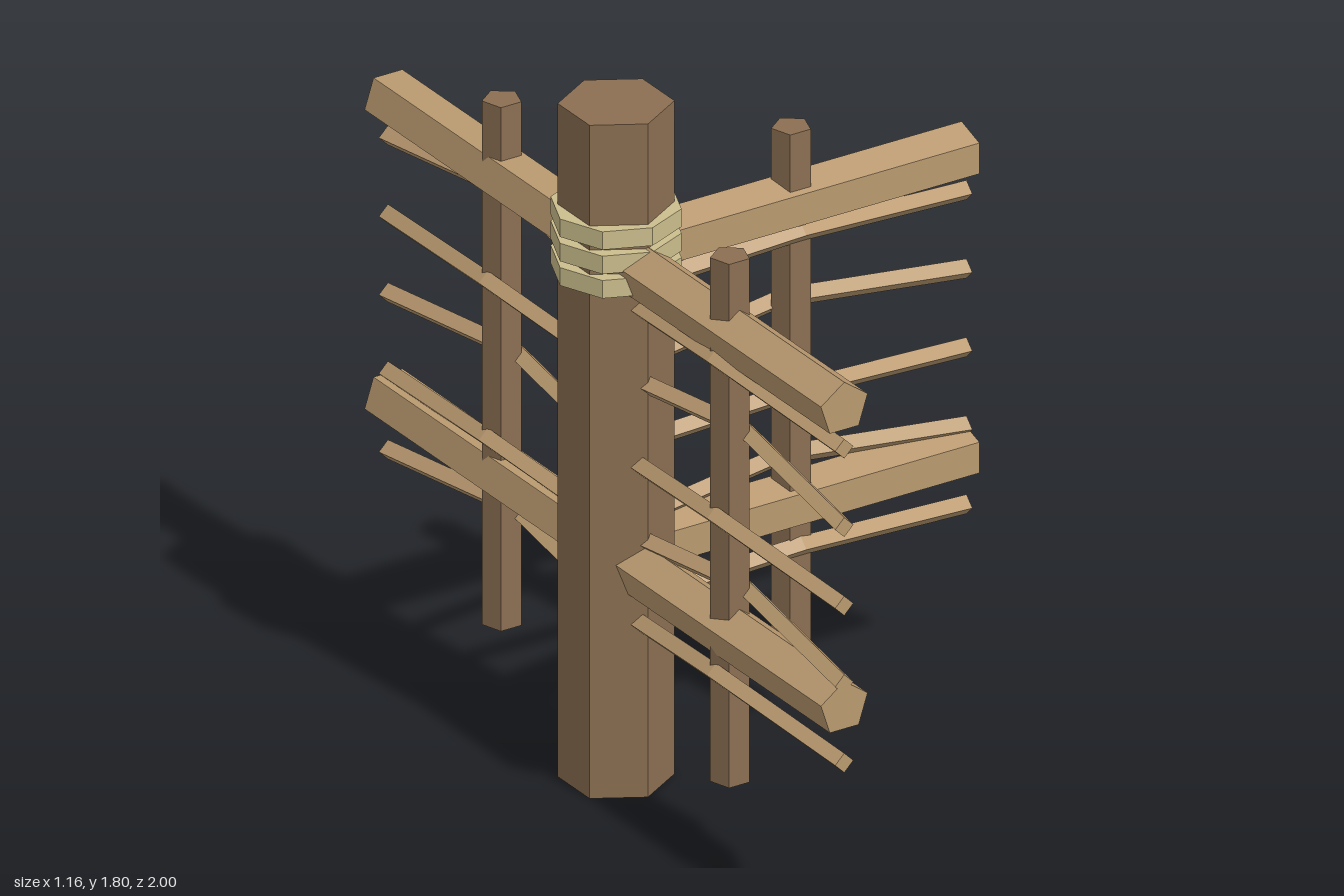
import * as THREE from 'three';

const material = (name, color) => {
  const m = new THREE.MeshStandardMaterial({ color });
  m.name = name;
  return m;
};

// Unshared corners give every facet its own flat normal
const faceted = (geometry) => {
  const g = geometry.toNonIndexed();
  g.computeVertexNormals();
  return g;
};

const part = (name, geometry, mat, y = 0) => {
  const mesh = new THREE.Mesh(faceted(geometry), mat);
  mesh.name = name;
  mesh.position.y = y;
  return mesh;
};

// Five-sided rail along +x, rolled about its own axis
const railGeometry = (roll) =>
  new THREE.CylinderGeometry(0.07, 0.07, 0.95, 5)
    .rotateY(roll).rotateZ(-Math.PI / 2).translate(0.525, 0, 0);

// Four-sided stick along +x, bent upward and sideways at its middle
function wattleGeometry(side) {
  const g = new THREE.CylinderGeometry(0.026, 0.026, 1, 4, 2)
    .rotateZ(-Math.PI / 2).translate(0.5, 0, 0);
  const p = g.attributes.position;
  for (let i = 0; i < p.count; i++) {
    if (Math.abs(p.getX(i) - 0.5) < 0.01) {
      p.setY(i, p.getY(i) + 0.042);
      p.setZ(i, p.getZ(i) + side * 0.04);
    }
  }
  return g;
}

export function createModel() {
  const darkWood = material('dark wood', 0x8b6f52);
  const paleWood = material('pale wood', 0xba9a70);
  const rope = material('rope', 0xcbbd8c);

  const model = new THREE.Group();
  model.name = 'fenceJunction';
  model.position.x = -0.42;

  // Central post
  model.add(part('post', new THREE.CylinderGeometry(0.14, 0.14, 1.8, 6), darkWood, 0.9));

  // Rope lashing around the upper rails
  for (let i = 0; i < 3; i++) {
    model.add(part('ropeBinding', new THREE.CylinderGeometry(0.16, 0.16, 0.048, 8), rope, 1.377 + i * 0.065));
  }

  // Three fence arms: turn about the post, and roll of the rails
  const arms = [
    ['leftArm', 0, Math.PI],
    ['frontArm', -Math.PI / 2, -Math.PI / 2],
    ['backArm', Math.PI / 2, Math.PI / 2],
  ];
  for (const [name, turn, roll] of arms) {
    const arm = new THREE.Group();
    arm.name = name;
    arm.rotation.y = turn;

    for (const y of [0.6, 1.4]) arm.add(part('rail', railGeometry(roll), paleWood, y));

    const stake = part('stake', new THREE.CylinderGeometry(0.05, 0.05, 1.4, 5), darkWood, 0.9);
    stake.position.x = 0.5;
    stake.rotation.y = Math.PI - turn;
    arm.add(stake);

    // Woven sticks pass the stake on alternating sides
    for (let i = 0; i < 5; i++) {
      arm.add(part('wattle', wattleGeometry(i % 2 ? -1 : 1), paleWood, 0.452 + i * 0.21));
    }
    model.add(arm);
  }

  const root = new THREE.Group();
  root.name = 'wattleFence';
  root.add(model);
  return root;
}
